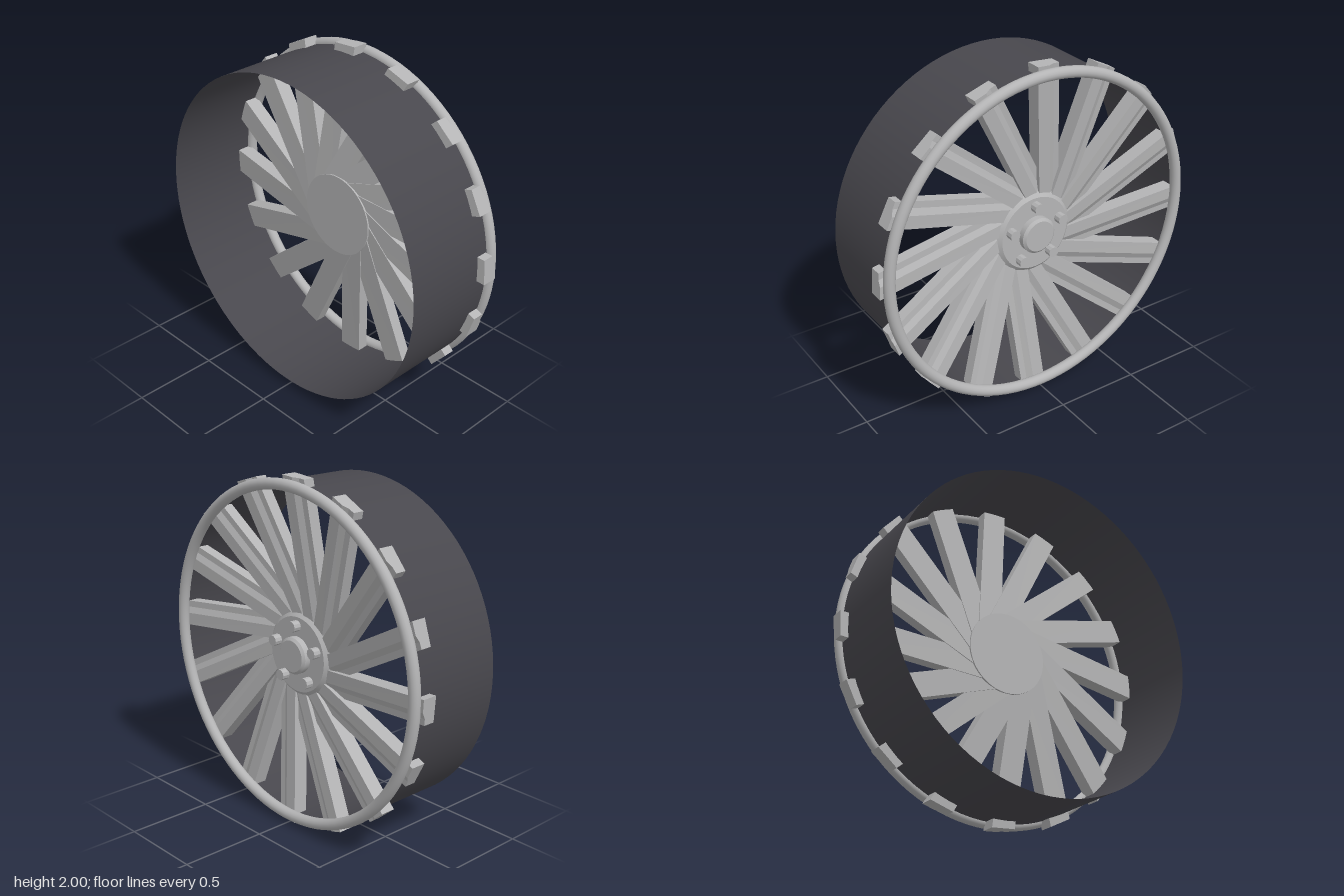
import * as THREE from 'three';
import { toCreasedNormals } from 'three/addons/utils/BufferGeometryUtils.js';

const BLADES = 16, BOLTS = 5;

// Leaning, dished blade: a bevelled profile swept outwards from the hub
function bladeGeometry() {
  const profile = new THREE.Shape([
    [-0.072, 0.18], [0.072, 0.18], [0.072, 0.268], [0.0, 0.266], [-0.035, 0.248], [-0.072, 0.246],
  ].map(([v, s]) => new THREE.Vector2(v, s)));
  const geo = new THREE.ExtrudeGeometry(profile, { depth: 1, bevelEnabled: false });
  const p = geo.attributes.position;
  for (let i = 0; i < p.count; i++) {
    const v = p.getX(i), s = p.getY(i), t = p.getZ(i);
    const r = THREE.MathUtils.lerp(0.15, 0.992 + v * 0.08, t);
    const lean = -0.1 + (r - 0.315) * 0.094;
    const dish = -0.085 * (1 - t);
    p.setXYZ(i, s + dish, r, v + lean);
  }
  geo.computeVertexNormals();
  return geo;
}

// Turned part around the x axis, from [radius, x] pairs
function turned(points, segments = 64) {
  const geo = new THREE.LatheGeometry(points.map(([r, x]) => new THREE.Vector2(r, x)), segments);
  return toCreasedNormals(geo.rotateZ(-Math.PI / 2), 0.5);
}

export function createModel() {
  const silver = new THREE.MeshStandardMaterial({ color: 0xb4b4b5 });
  silver.name = 'silver metal';
  const dark = new THREE.MeshStandardMaterial({ color: 0x48474d, side: THREE.DoubleSide });
  dark.name = 'dark barrel';

  const model = new THREE.Group();
  model.name = 'wheel';
  const wheel = new THREE.Group();
  wheel.name = 'wheelBody';
  wheel.position.y = 1;
  model.add(wheel);

  const add = (name, geo, mat) => {
    const mesh = new THREE.Mesh(geo, mat);
    mesh.name = name;
    wheel.add(mesh);
    return mesh;
  };

  // Open barrel
  const barrel = new THREE.CylinderGeometry(0.95, 0.95, 0.565, 96, 1, true);
  add('barrel', barrel.rotateZ(-Math.PI / 2), dark).position.x = -0.0325;

  // Outer lip ring
  const ring = new THREE.TorusGeometry(0.948, 0.032, 16, 96);
  add('lipRing', ring.rotateY(Math.PI / 2), silver).position.x = 0.28;

  // Blades
  const blade = bladeGeometry();
  for (let i = 0; i < BLADES; i++) {
    add('blade', blade, silver).rotation.x = (i / BLADES) * Math.PI * 2;
  }

  // Hub flange and centre cap
  add('hub', turned([[0, 0.09], [0.245, 0.09], [0.245, 0.18], [0.215, 0.205], [0, 0.205]]), silver);
  add('centreCap', turned([[0.105, 0.2], [0.105, 0.24], [0.09, 0.253], [0, 0.253]], 48), silver);

  // Wheel bolts
  const bolt = toCreasedNormals(new THREE.CylinderGeometry(0.031, 0.031, 0.06, 10).rotateZ(-Math.PI / 2), 0.4);
  for (let i = 0; i < BOLTS; i++) {
    const a = (i / BOLTS) * Math.PI * 2;
    add('bolt', bolt, silver).position.set(0.22, Math.cos(a) * 0.167, Math.sin(a) * 0.167);
  }
  return model;
}
